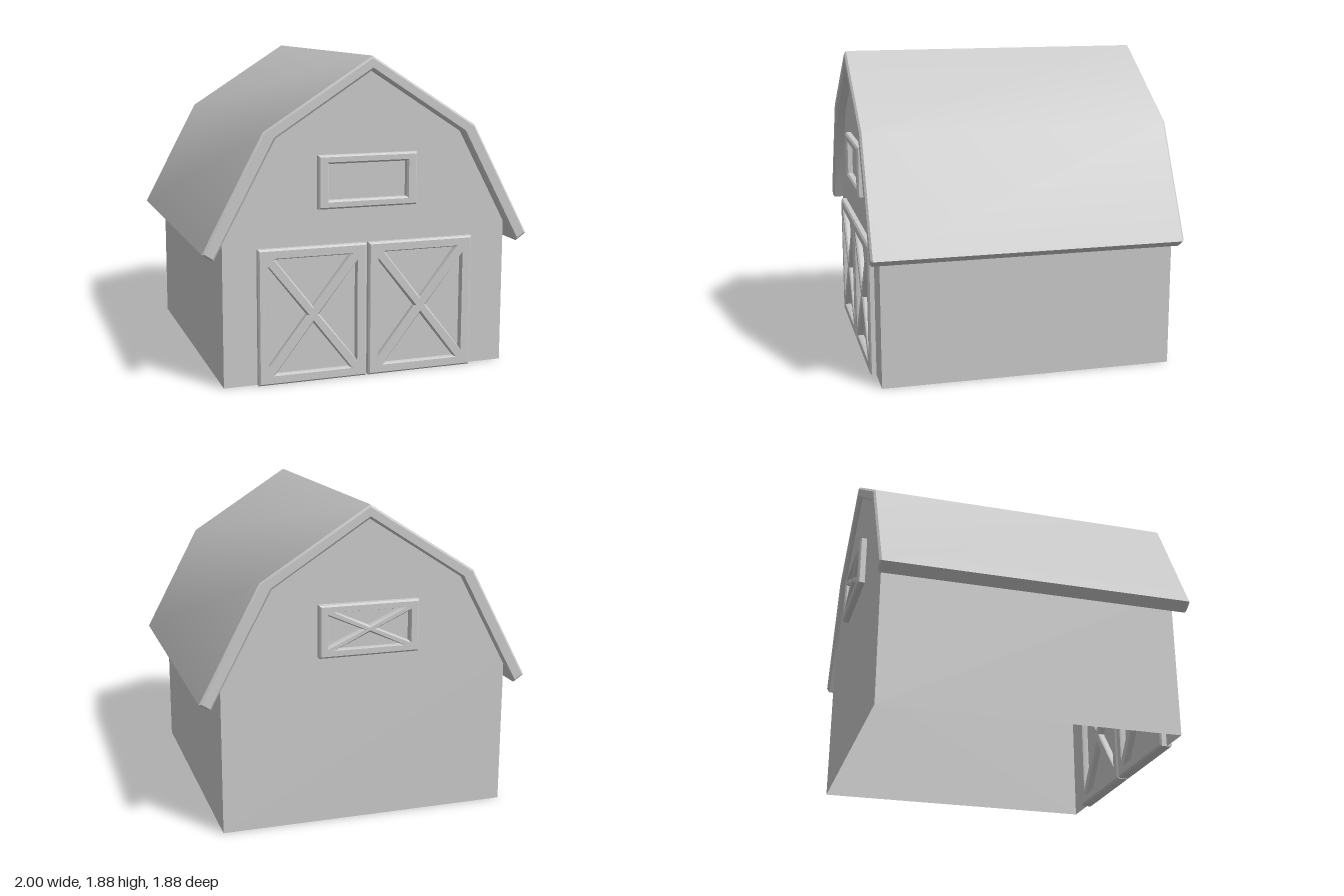
import * as THREE from 'three';
import { toCreasedNormals } from 'three/addons/utils/BufferGeometryUtils.js';

const material = new THREE.MeshStandardMaterial({ color: 0xcccccc });
const wallMaterial = new THREE.MeshStandardMaterial({ color: 0xcccccc, side: THREE.DoubleSide });

const toShape = (pts) => new THREE.Shape(pts.map(([x, y]) => new THREE.Vector2(x, y)));
const toPath = (pts) => new THREE.Path(pts.map(([x, y]) => new THREE.Vector2(x, y)));
const rect = (w, h) => [[-w, -h], [w, -h], [w, h], [-w, h]];

function addMesh(parent, name, geometry, mat = material) {
  const mesh = new THREE.Mesh(geometry, mat);
  mesh.name = name;
  parent.add(mesh);
  return mesh;
}

// Extrusion from z0 to z1 with chamfered edges kept inside the outline
function bevelled(shape, z0, z1, b) {
  const geometry = new THREE.ExtrudeGeometry(shape, {
    depth: z1 - z0 - 2 * b, bevelEnabled: true, bevelThickness: b,
    bevelSize: b, bevelOffset: -b, bevelSegments: 1,
  });
  geometry.translate(0, 0, z0 + b);
  return toCreasedNormals(geometry, 0.6);
}

// Rectangular frame (half sizes), optionally with crossed braces inside
function frameShape(w, h, borderX, borderY, brace) {
  const shape = toShape(rect(w, h));
  const iw = w - borderX, ih = h - borderY;
  if (!brace) {
    shape.holes.push(toPath(rect(iw, ih)));
    return shape;
  }
  const diagonal = Math.hypot(iw, ih);
  const dx = brace * diagonal / ih, dy = brace * diagonal / iw;
  for (const s of [1, -1]) {
    shape.holes.push(toPath([[0, s * dy], [s * (iw - dx), s * ih], [-s * (iw - dx), s * ih]]));
    shape.holes.push(toPath([[s * dx, 0], [s * iw, -s * (ih - dy)], [s * iw, s * (ih - dy)]]));
  }
  return shape;
}

export function createModel() {
  const barn = new THREE.Group();
  barn.name = 'barn';
  const wallX = 0.873, front = 0.875, back = -0.9;

  // Gambrel roof shell
  const outer = [[-1, 0.8], [-0.643, 1.47], [0, 1.88], [0.643, 1.47], [1, 0.8]];
  const inner = [[0.935, 0.757], [0.573, 1.43], [0, 1.8], [-0.573, 1.43], [-0.935, 0.757]];
  addMesh(barn, 'roof', bevelled(toShape([...outer, ...inner]), -0.93, 0.94, 0.012));

  // Thin walls, open below, tucked slightly into the roof
  const gable = new THREE.ShapeGeometry(toShape([
    [-wallX, 0], [wallX, 0], [wallX, 0.9], [0.58, 1.44], [0, 1.815], [-0.58, 1.44], [-wallX, 0.9],
  ]));
  addMesh(barn, 'frontWall', gable, wallMaterial).position.z = front;
  const backWall = addMesh(barn, 'backWall', gable, wallMaterial);
  backWall.position.z = back;
  backWall.rotation.y = Math.PI;
  for (const side of [1, -1]) {
    const wall = addMesh(barn, side > 0 ? 'leftWall' : 'rightWall',
      new THREE.PlaneGeometry(front - back, 0.9), wallMaterial);
    wall.position.set(side * wallX, 0.45, (front + back) / 2);
    wall.rotation.y = side * Math.PI / 2;
  }

  // Double doors with crossed braces
  const door = bevelled(frameShape(0.328, 0.4, 0.063, 0.06, 0.029), -0.04, 0.037, 0.01);
  for (const side of [1, -1]) {
    const mesh = addMesh(barn, side > 0 ? 'leftDoor' : 'rightDoor', door);
    mesh.position.set(side * 0.334 - 0.012, 0.4, front);
  }

  // Loft windows: plain frame in front, braced frame behind
  const frontWindow = addMesh(barn, 'frontWindow',
    bevelled(frameShape(0.302, 0.155, 0.063, 0.05, 0), -0.04, 0.04, 0.01));
  frontWindow.position.set(-0.012, 1.167, front);
  const backWindow = addMesh(barn, 'backWindow',
    bevelled(frameShape(0.302, 0.155, 0.055, 0.045, 0.017), -0.04, 0.043, 0.01));
  backWindow.position.set(0, 1.167, back);
  backWindow.rotation.y = Math.PI;

  return barn;
}
